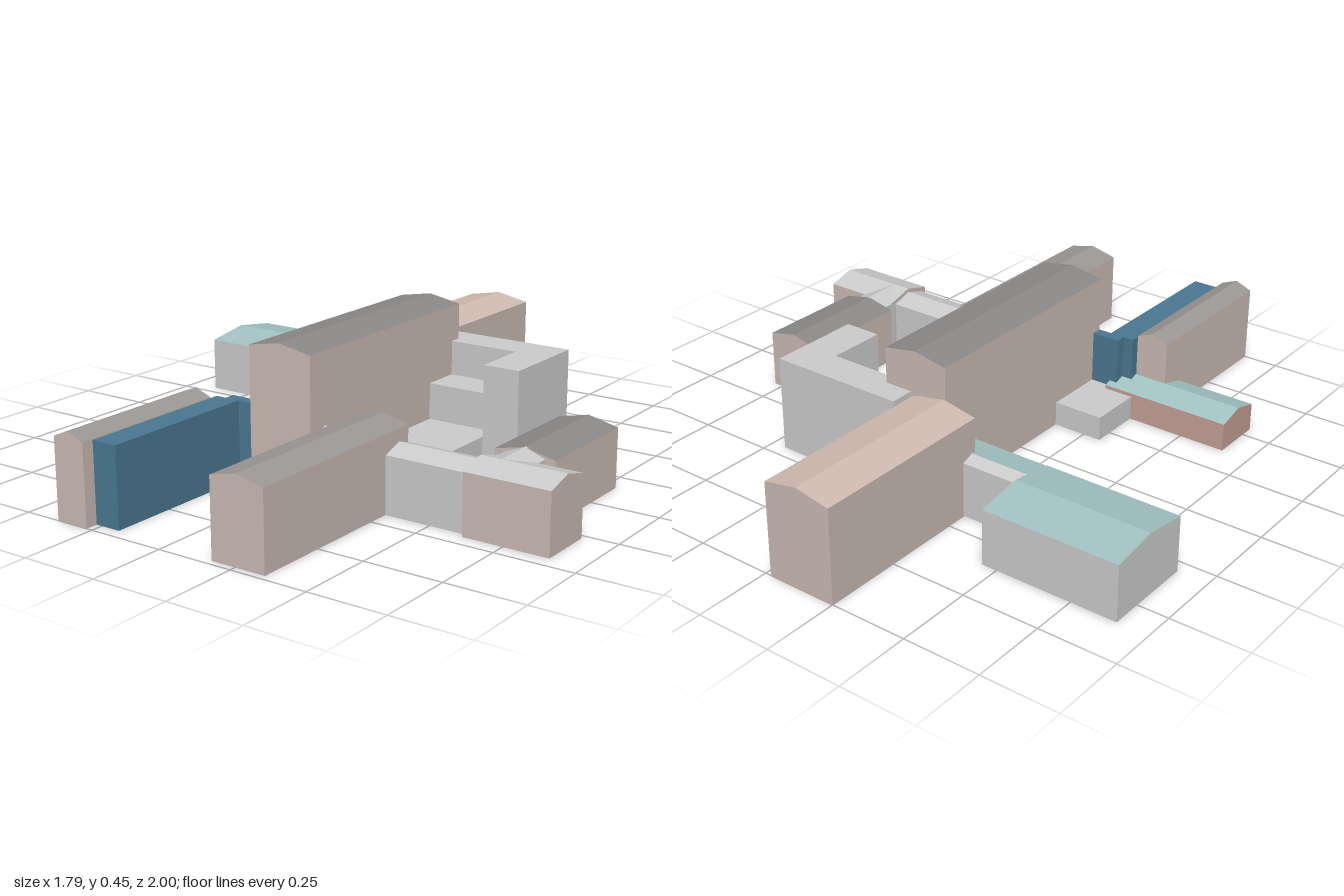
import * as THREE from 'three';

const mat = (color) => new THREE.MeshStandardMaterial({ color, flatShading: true });
const GREY = mat(0xcccccc), WARM = mat(0xcbbab4), PINK = mat(0xc4a095), BLUE = mat(0x4a7890);
const DARK_ROOF = mat(0x8c8a88), MID_ROOF = mat(0x9c9895), LIGHT_ROOF = mat(0xc0bebc);
const TEAL_ROOF = mat(0xa2c2c2), WARM_ROOF = mat(0xd0bbb1);

// Flat mesh from convex polygons, corners counter-clockwise seen from outside
function polygonMesh(name, polygons, material) {
  const positions = [];
  for (const p of polygons) {
    for (let i = 1; i < p.length - 1; i++) positions.push(...p[0], ...p[i], ...p[i + 1]);
  }
  const geometry = new THREE.BufferGeometry();
  geometry.setAttribute('position', new THREE.Float32BufferAttribute(positions, 3));
  geometry.computeVertexNormals();
  const mesh = new THREE.Mesh(geometry, material);
  mesh.name = name;
  return mesh;
}

// House with a shallow gable roof; the ridge runs along 'x' or 'z'
function gableHouse(name, axis, [x0, x1], [z0, z1], eave, ridge, wall, roof, ridgeAt, backRoof = roof) {
  const alongZ = axis === 'z';
  const [u0, u1] = alongZ ? [x0, x1] : [z0, z1];
  const [v0, v1] = alongZ ? [z0, z1] : [-x1, -x0];
  const mid = ridgeAt ?? (u0 + u1) / 2;
  const section = [[u0, 0], [u1, 0], [u1, eave], [mid, ridge], [u0, eave]];
  const point = (i, v) => {
    const [u, y] = section[i % 5];
    return alongZ ? [u, y, v] : [-v, y, u];
  };
  const strip = (i) => [point(i, v1), point(i, v0), point(i + 1, v0), point(i + 1, v1)];
  const ends = [
    [0, 1, 2, 3, 4].map((i) => point(i, v1)),
    [4, 3, 2, 1, 0].map((i) => point(i, v0)),
  ];
  const house = new THREE.Group();
  house.name = name;
  house.add(
    polygonMesh(name + 'Walls', [strip(0), strip(1), strip(4), ...ends], wall),
    polygonMesh(name + 'RoofFront', [strip(2)], roof),
    polygonMesh(name + 'RoofBack', [strip(3)], backRoof),
  );
  return house;
}

// Flat-roofed block standing on the ground
function block(name, [x0, x1], [z0, z1], height, material) {
  const mesh = new THREE.Mesh(new THREE.BoxGeometry(x1 - x0, height, z1 - z0), material);
  mesh.position.set((x0 + x1) / 2, height / 2, (z0 + z1) / 2);
  mesh.name = name;
  return mesh;
}

export function createModel() {
  const model = new THREE.Group();
  model.name = 'buildingComplex';

  // Central hall and the wing behind it
  model.add(
    gableHouse('mainHall', 'z', [-0.14, 0.085], [-0.375, 0.43], 0.43, 0.45, WARM, DARK_ROOF),
    gableHouse('rearWing', 'z', [-0.25, -0.02], [-1, -0.375], 0.303, 0.325, WARM, WARM_ROOF),
  );

  // Rear right house with its link to the hall
  model.add(
    gableHouse('rearHouse', 'x', [-0.9, -0.45], [-0.6, -0.295], 0.18, 0.203, GREY, TEAL_ROOF),
    gableHouse('rearLink', 'x', [-0.45, -0.14], [-0.43, -0.295], 0.178, 0.193, GREY, TEAL_ROOF, -0.39, LIGHT_ROOF),
  );

  // Flat-roofed blocks stepping down beside the hall
  model.add(
    block('tallBlockBack', [-0.01, 0.45], [-0.455, -0.335], 0.313, GREY),
    block('tallBlockArm', [0.325, 0.45], [-0.335, -0.14], 0.313, GREY),
    block('middleBlock', [0.085, 0.325], [-0.335, -0.205], 0.2, GREY),
    block('lowBlock', [0.085, 0.325], [-0.205, 0.05], 0.08, GREY),
  );

  // Left side: link, front wing and end houses
  model.add(
    gableHouse('leftLink', 'x', [0.085, 0.62], [0.29, 0.43], 0.18, 0.202, GREY, LIGHT_ROOF),
    gableHouse('leftFrontWing', 'z', [0.17, 0.35], [0.315, 0.98], 0.242, 0.263, WARM, MID_ROOF),
    gableHouse('leftEndHouse', 'x', [0.62, 0.895], [0.27, 0.45], 0.19, 0.214, WARM, LIGHT_ROOF),
    gableHouse('leftRearLink', 'z', [0.62, 0.75], [0.22, 0.36], 0.188, 0.213, GREY, LIGHT_ROOF),
    gableHouse('leftRearHouse', 'z', [0.585, 0.783], [-0.155, 0.225], 0.19, 0.212, WARM, DARK_ROOF),
  );

  // Right front: annex, low house, blue hall and narrow house
  model.add(
    block('lowAnnex', [-0.31, -0.14], [0.19, 0.4], 0.08, GREY),
    gableHouse('lowHouse', 'x', [-0.655, -0.21], [0.37, 0.545], 0.092, 0.115, PINK, TEAL_ROOF),
    block('blueHall', [-0.27, -0.185], [0.43, 0.96], 0.25, BLUE),
    block('blueLink', [-0.235, -0.14], [0.395, 0.43], 0.25, BLUE),
    gableHouse('narrowHouse', 'z', [-0.38, -0.27], [0.46, 1], 0.253, 0.275, WARM, MID_ROOF),
  );

  return model;
}
